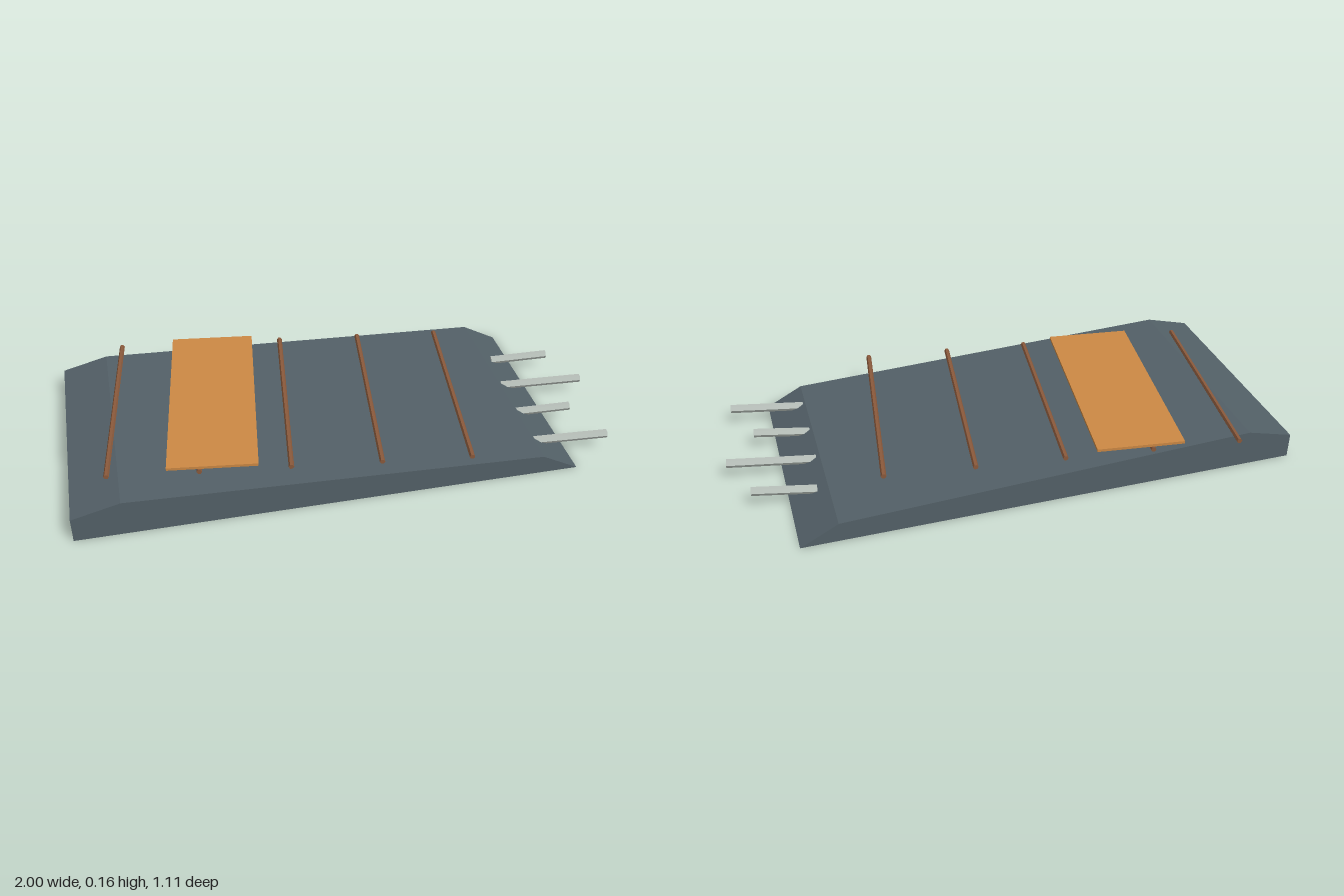
import * as THREE from 'three';

export function createModel() {
  const model = new THREE.Group();
  const mat = (name, color) => {
    const m = new THREE.MeshStandardMaterial({ color, flatShading: true });
    m.name = name;
    return m;
  };
  const concrete = mat('slate concrete', 0x536067);
  const rust = mat('rusty brown', 0x8b5a3c);
  const copper = mat('orange sheet', 0xcd8944);
  const steel = mat('pale steel', 0xb8c0ba);

  const add = (name, geometry, material) => {
    const mesh = new THREE.Mesh(geometry, material);
    mesh.name = name;
    model.add(mesh);
    return mesh;
  };

  // Wedge slab: side profile extruded across its width, then turned slightly
  const width = 0.883;
  const profile = new THREE.Shape([
    [-0.885, 0], [0.885, 0], [0.753, 0.07], [-0.718, 0.133], [-0.885, 0.09],
  ].map(([x, y]) => new THREE.Vector2(x, y)));
  const slabGeometry = new THREE.ExtrudeGeometry(profile, { depth: width, bevelEnabled: false });
  slabGeometry.translate(0, 0, -width / 2);
  const slab = add('slab', slabGeometry, concrete);
  slab.rotation.y = 0.1303;
  slab.position.set(-0.065, 0, -0.0025);

  // Straight six-sided rod between two points
  const rod = (name, from, to, radius, material) => {
    const a = new THREE.Vector3(...from), b = new THREE.Vector3(...to);
    const mesh = add(name, new THREE.CylinderGeometry(radius, radius, a.distanceTo(b), 6), material);
    mesh.position.copy(a).add(b).multiplyScalar(0.5);
    mesh.quaternion.setFromUnitVectors(new THREE.Vector3(0, 1, 0), b.sub(a).normalize());
    return mesh;
  };

  // Cross rods lying above the slab, with a corner to each side
  for (let i = 0; i < 5; i++) {
    const x = -0.775 + i * 0.31;
    rod('crossRod', [x, 0.14, -0.4], [x, 0.14, 0.4], 0.0095, rust).rotateY(Math.PI / 2);
  }

  // Loose sheet between the first and third rods
  add('sheet', new THREE.BoxGeometry(0.31, 0.01, 0.8), copper).position.set(-0.42, 0.158, 0);

  // Reinforcing bars sticking out of the thin end, alternating in length
  [[-0.312, 0.91], [-0.135, 1], [0.042, 0.91], [0.22, 1]].forEach(([z, end]) =>
    rod('reinforcingBar', [0.69, 0.05, z], [end, 0.067, z], 0.0155, steel));

  return model;
}
